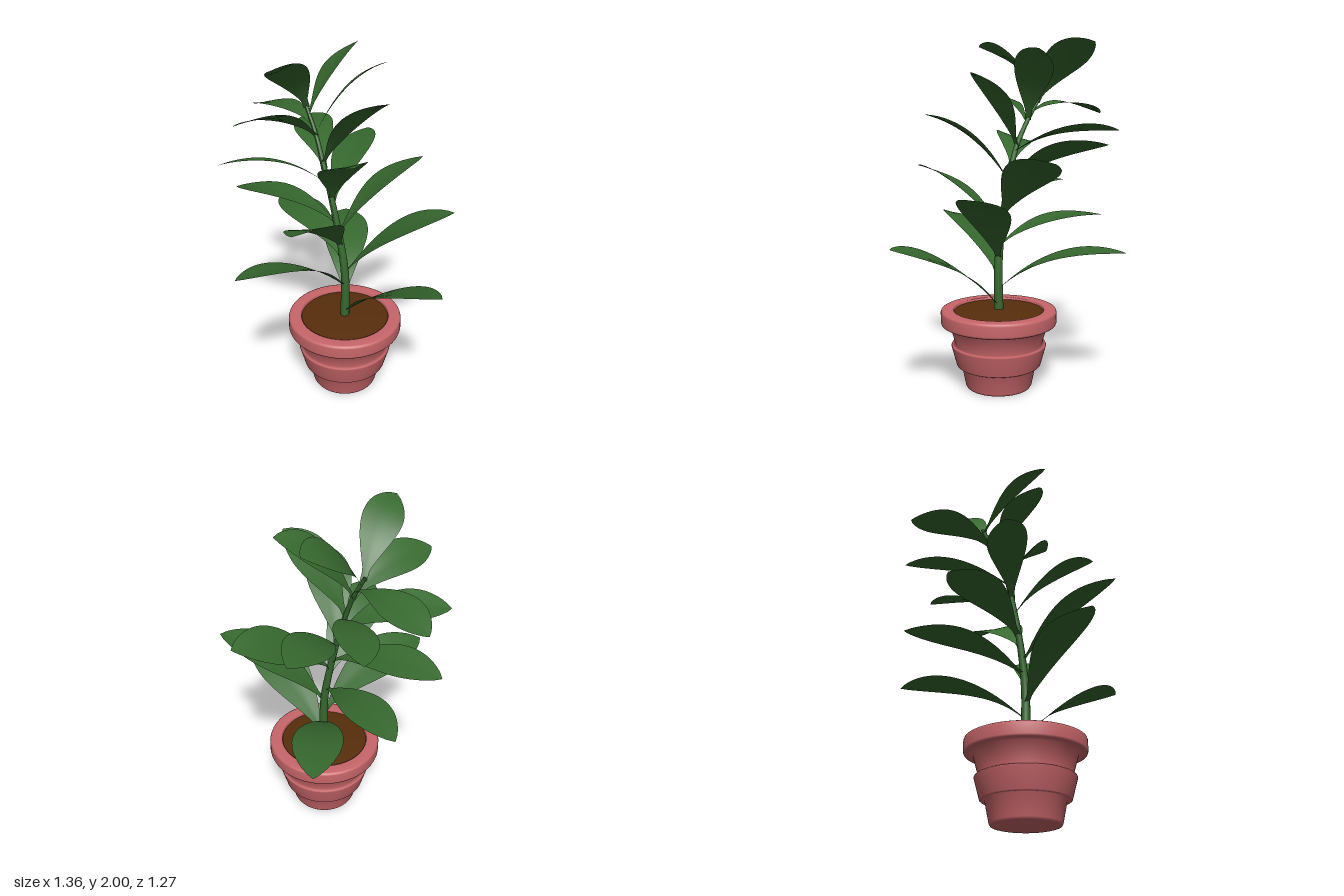
import * as THREE from 'three';

const V = (x, y, z) => new THREE.Vector3(x, y, z);

// Stem centre line, leaning left and slightly back near the crown
const stemCurve = new THREE.CatmullRomCurve3([
  V(0.03, 0.43, 0.035), V(0.03, 0.75, 0.035), V(-0.01, 1.0, 0.03),
  V(-0.07, 1.25, 0.015), V(-0.115, 1.4, 0), V(-0.175, 1.55, -0.04), V(-0.255, 1.7, -0.085),
]);

// Point of the stem at a given height
function stemAt(y) {
  let lo = 0, hi = 1;
  for (let i = 0; i < 24; i++) {
    const mid = (lo + hi) / 2;
    if (stemCurve.getPoint(mid).y < y) lo = mid; else hi = mid;
  }
  return stemCurve.getPoint(lo);
}

// Tapered tube for the stem
function stemGeometry() {
  const rows = 40, sides = 12;
  const geo = new THREE.TubeGeometry(stemCurve, rows, 1, sides);
  const pos = geo.attributes.position, p = V(0, 0, 0);
  for (let i = 0; i < pos.count; i++) {
    const t = Math.floor(i / (sides + 1)) / rows;
    const centre = stemCurve.getPointAt(t);
    p.fromBufferAttribute(pos, i).sub(centre).multiplyScalar(0.028 - 0.018 * t).add(centre);
    pos.setXYZ(i, p.x, p.y, p.z);
  }
  geo.computeVertexNormals();
  return geo;
}

// Arched blade: a grid bent along a curve, narrow at the stalk, pointed at the tip,
// and rolled about its midrib (positive roll lifts the edge on the right, looking outward)
function leafGeometry(base, tip, width, bend, roll) {
  const control = V(
    base.x + (tip.x - base.x) * 0.4,
    base.y + (tip.y - base.y) * 0.83 + 0.05 + bend,
    base.z + (tip.z - base.z) * 0.4);
  const curve = new THREE.QuadraticBezierCurve3(base, control, tip);
  const level = V(base.z - tip.z, 0, tip.x - base.x).normalize();
  const geo = new THREE.PlaneGeometry(2, 1, 8, 24);
  const pos = geo.attributes.position;
  for (let i = 0; i < pos.count; i++) {
    const u = pos.getX(i), t = pos.getY(i) + 0.5;
    const p = curve.getPointAt(t), tangent = curve.getTangentAt(t);
    const side = level.clone().applyAxisAngle(tangent, -THREE.MathUtils.degToRad(roll));
    const up = side.clone().cross(tangent);
    const swell = Math.pow(Math.max(0, Math.sin(Math.PI * Math.pow(t, 1.5))), 0.8);
    const half = t < 0.3 ? Math.max(0.018, swell * width / 2) : swell * width / 2;
    p.addScaledVector(side, u * half).addScaledVector(up, 0.06 * half * Math.abs(u));
    pos.setXYZ(i, p.x, p.y, p.z);
  }
  geo.computeVertexNormals();
  return geo;
}

// Height on the stem, tip x, y, z, width, extra arch, roll in degrees
const LEAVES = [
  [0.48, 0.68, 0.89, 0.30, 0.30, -0.07, 10],
  [0.58, -0.24, 0.81, -0.64, 0.28, 0.04, 0],
  [0.66, -0.34, 0.95, 0.635, 0.28, 0.03, -15],
  [0.75, 0.605, 1.165, -0.15, 0.285, -0.05, 5],
  [0.84, -0.57, 0.97, -0.36, 0.25, 0.04, 0],
  [0.92, -0.005, 1.275, 0.63, 0.28, -0.05, -16],
  [1.06, -0.68, 1.165, 0, 0.25, 0.06, -8],
  [1.0, 0.315, 1.335, -0.47, 0.28, -0.02, 20],
  [1.18, -0.08, 1.42, -0.585, 0.25, -0.01, 16],
  [1.2, 0.225, 1.58, 0.40, 0.26, -0.05, -5],
  [1.28, -0.61, 1.42, 0.29, 0.23, 0.06, -18],
  [1.37, -0.44, 1.49, -0.50, 0.23, 0.02, 12],
  [1.4, 0.28, 1.80, 0.05, 0.24, -0.06, 15],
  [1.6, -0.67, 1.59, -0.28, 0.23, 0.07, -5],
  [1.54, -0.43, 1.70, 0.40, 0.22, 0.02, -22],
  [1.55, 0.145, 1.92, -0.28, 0.22, -0.04, 20],
  [1.65, -0.11, 1.965, -0.485, 0.23, -0.03, 28],
  [1.68, -0.24, 1.985, 0.335, 0.21, -0.02, -25],
];

export function createModel() {
  const plant = new THREE.Group();
  plant.name = 'pottedPlant';
  const clay = new THREE.MeshStandardMaterial({ color: 0xc8666a });
  clay.name = 'clay';
  const earth = new THREE.MeshStandardMaterial({ color: 0x572e0c });
  earth.name = 'earth';
  const green = new THREE.MeshStandardMaterial({ color: 0x37692f, side: THREE.DoubleSide });
  green.name = 'leafGreen';

  const add = (name, geo, mat, parent = plant) => {
    const mesh = new THREE.Mesh(geo, mat);
    mesh.name = name;
    parent.add(mesh);
    return mesh;
  };
  const lathe = (points) =>
    new THREE.LatheGeometry(points.map(([r, y]) => new THREE.Vector2(r, y)), 64);

  // Stepped pot with rounded rim and hollow top
  const pot = add('pot', lathe([
    [0, 0], [0.172, 0], [0.186, 0.004], [0.193, 0.016], [0.217, 0.133],
    [0.238, 0.133], [0.245, 0.138], [0.276, 0.252], [0.272, 0.26],
    [0.252, 0.262], [0.285, 0.378], [0.323, 0.378], [0.332, 0.383], [0.336, 0.393],
    [0.336, 0.45], [0.332, 0.461], [0.322, 0.466], [0.268, 0.466], [0.26, 0.462], [0.256, 0.42],
  ]), clay);
  pot.position.set(0.03, 0, 0.035);

  // Slightly domed soil
  const soil = add('soil', lathe([[0.258, 0.452], [0.2, 0.46], [0.1, 0.465], [0, 0.465]]), earth);
  soil.position.set(0.03, 0, 0.035);

  add('stem', stemGeometry(), green);

  // Leaves spiral up the stem
  const leaves = new THREE.Group();
  leaves.name = 'leaves';
  plant.add(leaves);
  LEAVES.forEach(([y, tx, ty, tz, width, bend, roll], i) =>
    add('leaf' + (i + 1), leafGeometry(stemAt(y), V(tx, ty, tz), width, bend, roll), green, leaves));

  return plant;
}
